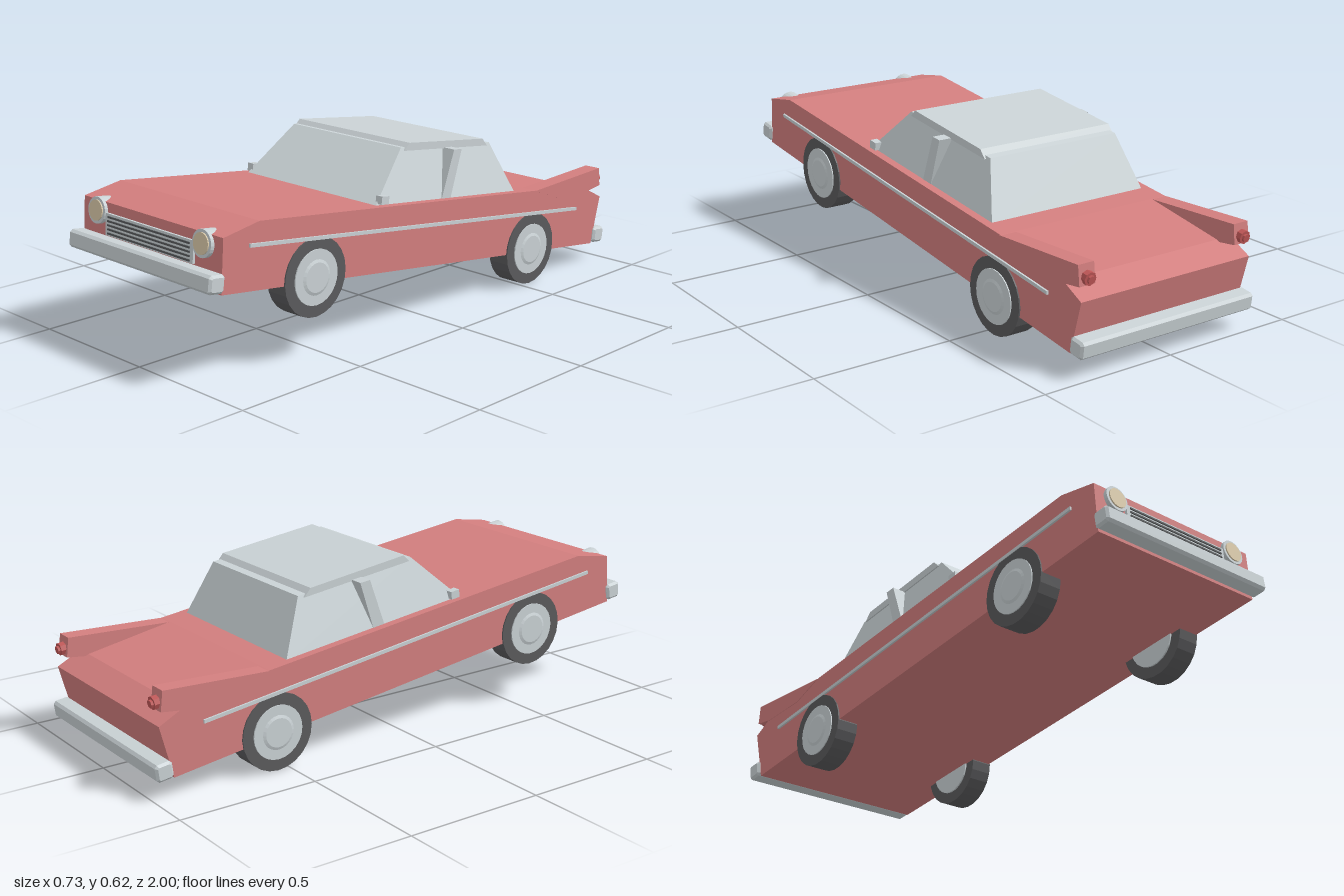
import * as THREE from 'three';

const TILT = -0.13; // the car sits nose-up

function material(name, color) {
  const m = new THREE.MeshStandardMaterial({ color, flatShading: true });
  m.name = name;
  return m;
}

export function createModel() {
  const paint = material('salmonPaint', 0xd27e7e);
  const chrome = material('chrome', 0xc9d1d4);
  const glass = material('paleGlass', 0xccd5d8);
  const rubber = material('tyreRubber', 0x5a5a5c);
  const lens = material('headlightLens', 0xd8c8a8);
  const slat = material('grilleDark', 0x55585a);
  const red = material('tailLightRed', 0xbd5656);

  const car = new THREE.Group();
  car.name = 'car';

  function add(name, geometry, mat, x = 0, y = 0, z = 0, tilt = 0) {
    const mesh = new THREE.Mesh(geometry, mat);
    mesh.name = name;
    mesh.position.set(x, y, z);
    mesh.rotation.x = tilt;
    car.add(mesh);
    return mesh;
  }

  // Side profile of [z, y] points, extruded between two x positions
  function profile(points, x0, x1, bevel = 0) {
    const shape = new THREE.Shape(points.map(([z, y]) => new THREE.Vector2(z, y)));
    const geo = new THREE.ExtrudeGeometry(shape, {
      depth: x1 - x0 - 2 * bevel, bevelEnabled: bevel > 0, bevelSegments: 1,
      bevelSize: bevel, bevelThickness: bevel, bevelOffset: -bevel,
    });
    return geo.rotateY(-Math.PI / 2).translate(x1 - bevel, 0, 0);
  }

  // Cylinder along x or z
  const discX = (r, len, n = 24, r2 = r) =>
    new THREE.CylinderGeometry(r, r2, len, n).rotateZ(-Math.PI / 2);
  const discZ = (r, len, n = 24) =>
    new THREE.CylinderGeometry(r, r, len, n).rotateX(Math.PI / 2);

  // Main body
  add('body', profile([
    [0.945, 0.312], [0.932, 0.49], [0.785, 0.514], [-0.57, 0.35],
    [-0.89, 0.294], [-0.978, 0.25], [-0.93, 0.07],
  ], -0.35, 0.35), paint);

  // Glasshouse: a box whose corners are moved to a tapered cabin
  const cabin = new THREE.BoxGeometry(2, 2, 2);
  const p = cabin.attributes.position;
  for (let i = 0; i < p.count; i++) {
    const top = p.getY(i) > 0, front = p.getZ(i) > 0;
    const [z, y] = top ? (front ? [0.065, 0.607] : [-0.4, 0.548])
                       : (front ? [0.252, 0.44] : [-0.488, 0.35]);
    p.setXYZ(i, Math.sign(p.getX(i)) * (top ? 0.265 : 0.322), y, z);
  }
  cabin.computeVertexNormals();
  add('cabinGlass', cabin, glass);
  add('roof', profile([
    [0.055, 0.595], [0.03, 0.619], [-0.355, 0.57], [-0.38, 0.541],
  ], -0.273, 0.273), chrome);

  // Bumpers with chamfered edges
  const w = 0.031, h = 0.03, c = 0.009;
  const bumperShape = [
    [w, -h + c], [w, h - c], [w - c, h], [-w + c, h],
    [-w, h - c], [-w, -h + c], [-w + c, -h], [w - c, -h],
  ];
  add('frontBumper', profile(bumperShape, -0.361, 0.361, 0.008), chrome, 0, 0.352, 0.967, TILT);
  add('rearBumper', profile(bumperShape, -0.361, 0.361, 0.008), chrome, 0, 0.1, -0.967, TILT);

  // Grille
  add('grilleFrame', new THREE.BoxGeometry(0.444, 0.074, 0.02), chrome, 0, 0.42, 0.936, -0.07);
  for (let i = 0; i < 5; i++) {
    const y = 0.447 - i * 0.0137;
    add('grilleSlat', new THREE.BoxGeometry(0.416, 0.006, 0.006), slat,
      0, y, 0.947 - (y - 0.42) * 0.07, -0.07);
  }

  for (const s of [-1, 1]) {
    const span = (a, b) => (s > 0 ? [a, b] : [-b, -a]);

    // Tail fin and its lamp
    add('tailFin', profile([
      [-0.57, 0.349], [-0.962, 0.366], [-0.97, 0.297], [-0.89, 0.287], [-0.7, 0.3],
    ], ...span(0.29, 0.352)), paint);
    add('tailLight', discZ(0.023, 0.02, 8), red, s * 0.321, 0.322, -0.974, TILT);
    add('tailLightTip', discZ(0.014, 0.012, 8), red, s * 0.321, 0.32, -0.986, TILT);

    // Headlight
    add('headlightRing', discZ(0.045, 0.09), chrome, s * 0.266, 0.453, 0.903, TILT);
    add('headlightLens', discZ(0.035, 0.008), lens, s * 0.266, 0.459, 0.948, TILT);

    // Side trim strip
    add('sideTrim', profile([
      [0.83, 0.439], [0.83, 0.451], [-0.82, 0.239], [-0.82, 0.227],
    ], ...span(0.348, 0.357)), chrome);

    // Door pillar and mirror
    add('doorPillar', profile([
      [-0.083, 0.4], [-0.147, 0.573], [-0.187, 0.569], [-0.128, 0.39],
    ], ...span(0.25, 0.32)), chrome);
    add('mirror', new THREE.BoxGeometry(0.028, 0.028, 0.035), chrome, s * 0.321, 0.463, 0.213, TILT);

    // Wheels
    for (const [y, z] of [[0.28, 0.555], [0.134, -0.545]]) {
      add('tyre', discX(0.134, 0.083), rubber, s * 0.3135, y, z);
      add('hub', discX(0.094, 0.093), chrome, s * 0.3125, y, z);
      const cap = add('hubCap', discX(0.05, 0.004, 24, 0.06), chrome, s * 0.361, y, z);
      if (s < 0) cap.rotation.y = Math.PI;
    }
  }
  return car;
}
